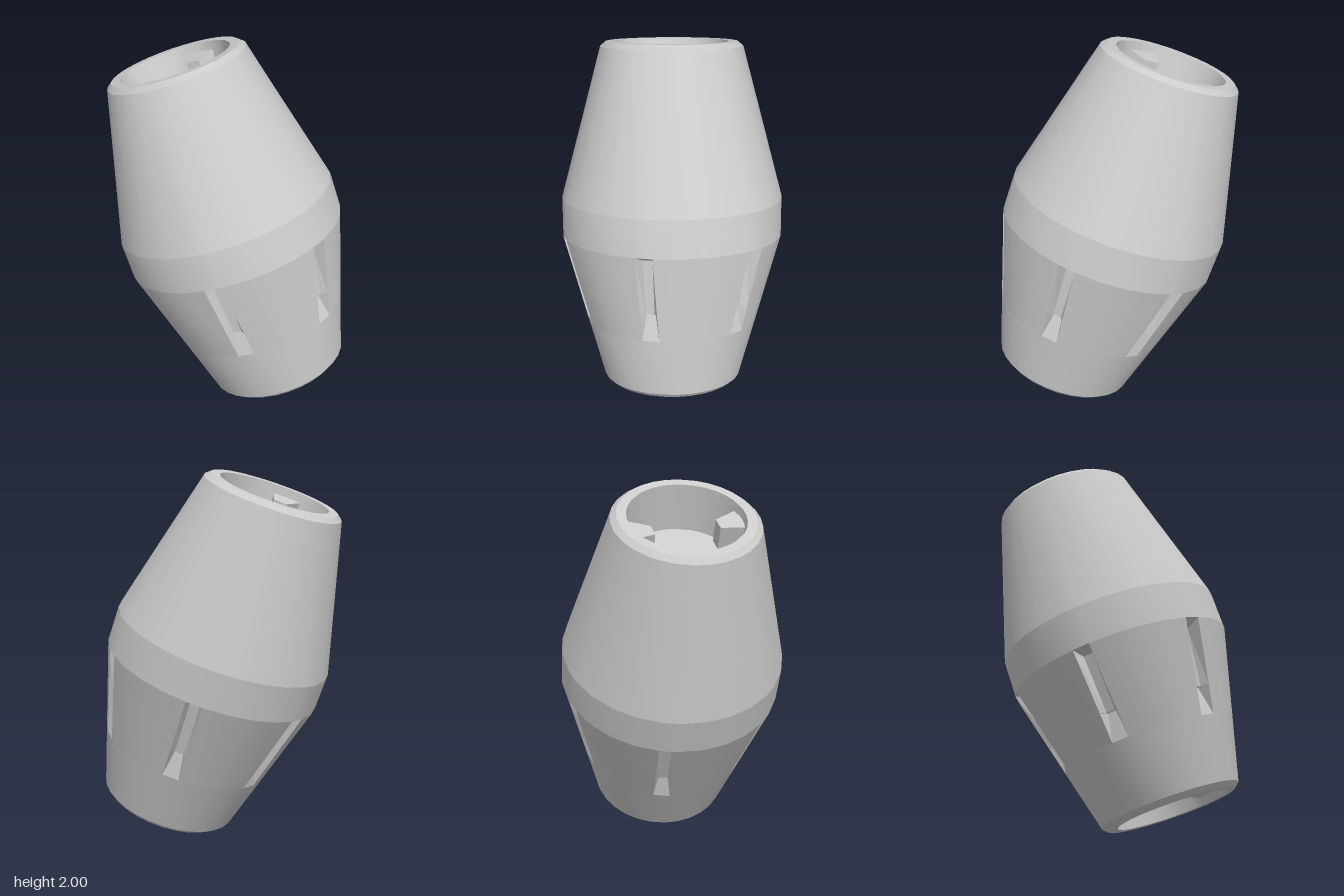
import * as THREE from 'three';

const rad = THREE.MathUtils.degToRad;
const SLOTS = 6, SLOT_START = rad(14), HALF = 0.045, PANEL = 4;
const material = new THREE.MeshStandardMaterial({ color: 0xcccccc });
const flat = new THREE.MeshStandardMaterial({ color: 0xcccccc, flatShading: true });

// Skin rows of points, listed from top to bottom; skip(i) leaves a column open
function skin(rows, closed, skip = () => false) {
  const n = rows[0].length, index = [];
  for (let r = 0; r < rows.length - 1; r++) {
    for (let i = 0; i < (closed ? n : n - 1); i++) {
      if (skip(i)) continue;
      const a = r * n + i, b = r * n + (i + 1) % n;
      index.push(a, b, a + n, b, b + n, a + n);
    }
  }
  const g = new THREE.BufferGeometry();
  g.setAttribute('position', new THREE.Float32BufferAttribute(rows.flat(2), 3));
  g.setIndex(index);
  g.computeVertexNormals();
  return g;
}

// Ring whose columns line up with the slot edges
function ring([r, y]) {
  const points = [];
  const half = r > 0 ? Math.asin(HALF / r) : 0;
  const step = Math.PI * 2 / SLOTS;
  for (let k = 0; k < SLOTS; k++) {
    const c = SLOT_START + k * step;
    points.push([c - half]);
    for (let j = 0; j < PANEL; j++) points.push([c + half + (step - 2 * half) * j / PANEL]);
  }
  return points.map(([t]) => [r * Math.cos(t), y, r * Math.sin(t)]);
}

// Recessed slot: tapered walls, raised strip, small step and run-out ramp
function slotGeometry() {
  const surface = (y) => Math.sqrt((0.6 - 0.22 * (-0.1 - y) / 0.81) ** 2 - HALF ** 2);
  const sections = [
    [-0.1, surface(-0.1), HALF],
    [-0.13, 0.52, 0.025],
    [-0.43, 0.472, 0.022],
    [-0.43, 0.45, 0.022],
    [-0.58, surface(-0.58), HALF],
  ];
  return skin(sections.map(([y, depth, w]) => [
    [surface(y), y, -HALF], [depth, y, -w], [depth, y, w], [surface(y), y, HALF],
  ]), false);
}

// Lug: a box narrowing towards the axis
function lugGeometry() {
  const g = new THREE.BoxGeometry(0.13, 0.16, 0.17);
  const p = g.attributes.position;
  for (let i = 0; i < p.count; i++) {
    if (p.getX(i) < 0) p.setXYZ(i, p.getX(i), p.getY(i) * 0.8, p.getZ(i) * 0.45);
  }
  g.translate(0.235, 0, 0);
  g.computeVertexNormals();
  return g;
}

export function createModel() {
  const model = new THREE.Group();
  model.name = 'tiltedBarrel';
  const barrel = new THREE.Group();
  barrel.name = 'barrel';
  const add = (name, geometry, mat) => {
    const mesh = new THREE.Mesh(geometry, mat);
    mesh.name = name;
    barrel.add(mesh);
    return mesh;
  };

  // Body bands, from the floor of the top socket to that of the bottom one
  const profile = [
    [0, 0.685], [0.27, 0.685], [0.3, 0.935], [0.35, 0.935], [0.38, 0.91], [0.6, 0.1], [0.6, -0.1],
    [0.4696, -0.58], [0.38, -0.91], [0.35, -0.935], [0.3, -0.935], [0.27, -0.685], [0, -0.685],
  ];
  const names = [
    'topSocketFloor', 'topSocketWall', 'topRim', 'topBevel', 'upperCone', 'middleBand',
    'slottedCone', 'lowerCone', 'bottomBevel', 'bottomRim', 'bottomSocketWall', 'bottomSocketFloor',
  ];
  names.forEach((name, i) => {
    const open = name === 'slottedCone' ? (c) => c % (PANEL + 1) === 0 : undefined;
    add(name, skin([ring(profile[i]), ring(profile[i + 1])], true, open), material);
  });

  // Slots around the lower half
  const slot = slotGeometry();
  for (let k = 0; k < SLOTS; k++) {
    add('slot', slot, flat).rotation.y = -(SLOT_START + k * Math.PI * 2 / SLOTS);
  }

  // Opposed pair of lugs in each socket
  const lug = lugGeometry();
  for (const [name, y, angle] of [['topLug', 0.81, 86], ['bottomLug', -0.81, 166]]) {
    for (const turn of [0, 180]) {
      const mesh = add(name, lug, flat);
      mesh.position.y = y;
      mesh.rotation.y = -rad(angle + turn);
    }
  }

  // Lean the barrel to its right
  barrel.rotation.z = rad(20);
  barrel.position.y = 1;
  model.add(barrel);
  return model;
}
